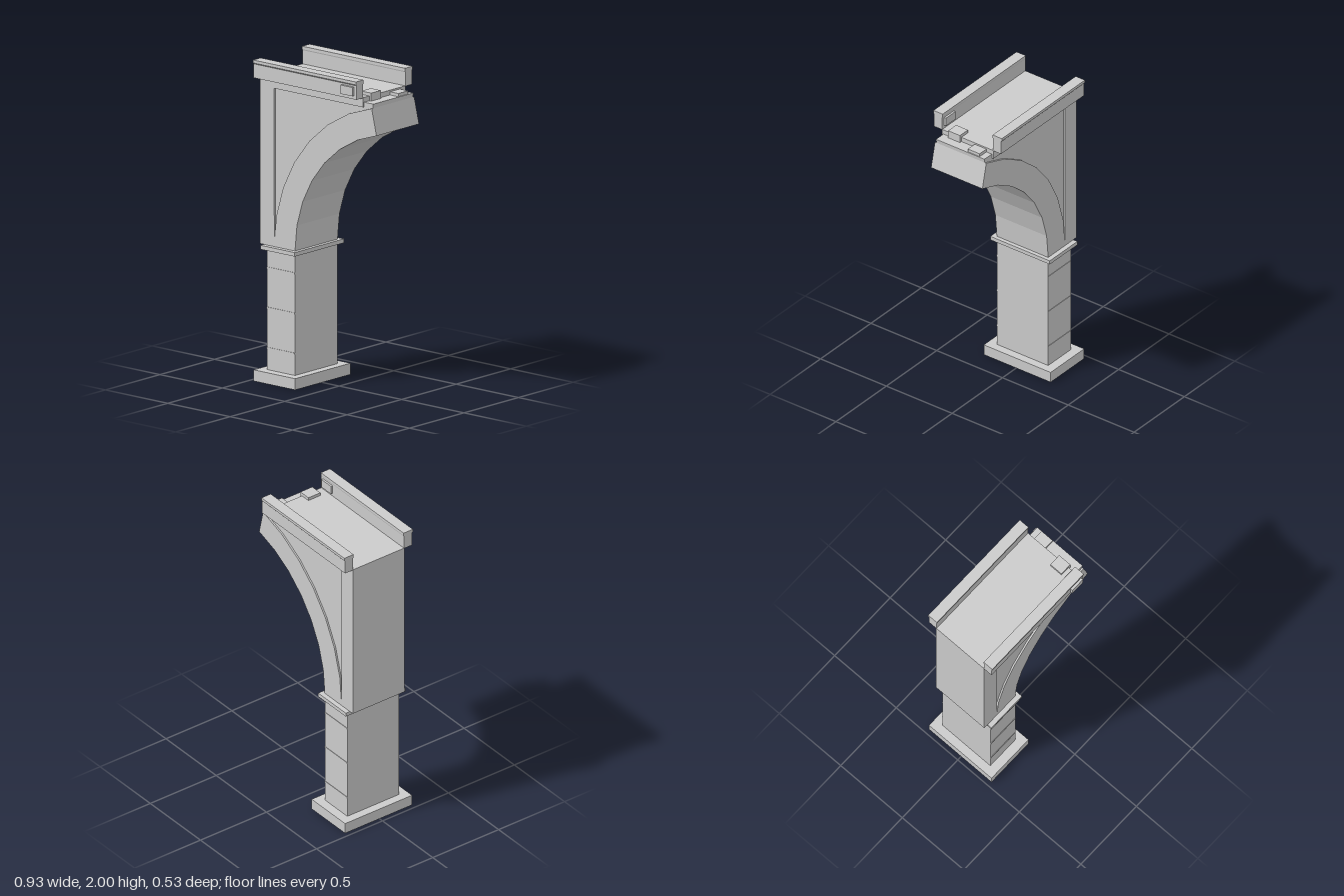
import * as THREE from 'three';

export function createModel() {
  const model = new THREE.Group();
  model.name = 'viaductPier';
  const body = new THREE.Group();
  body.name = 'pierAssembly';
  body.position.z = -0.007;
  model.add(body);
  const material = new THREE.MeshStandardMaterial({ color: 0xcccccc, flatShading: true });

  const add = (name, geometry) => {
    const mesh = new THREE.Mesh(geometry, material);
    mesh.name = name;
    body.add(mesh);
    return mesh;
  };
  // Box given by its limits on each axis
  const box = (name, x0, x1, y0, y1, z0, z1) =>
    add(name, new THREE.BoxGeometry(x1 - x0, y1 - y0, z1 - z0)
      .translate((x0 + x1) / 2, (y0 + y1) / 2, (z0 + z1) / 2));
  // Front profile extruded evenly about z = 0
  const slab = (name, points, half) =>
    add(name, new THREE.ExtrudeGeometry(
      new THREE.Shape(points.map(([x, y]) => new THREE.Vector2(x, y))),
      { depth: half * 2, bevelEnabled: false }).translate(0, 0, -half));
  // Faceted arch curve, from the springing upwards
  const arc = (radius) => Array.from({ length: 8 }, (_, i) => {
    const a = (i / 7) * 1.339;
    return [0.658 - radius * Math.cos(a), 0.845 + radius * Math.sin(a)];
  });

  // Column
  box('plinth', -0.47, -0.137, 0, 0.07, -0.254, 0.254);
  box('columnShaft', -0.415, -0.19, 0.07, 0.82, -0.195, 0.195);
  box('columnCapital', -0.44, -0.165, 0.82, 0.845, -0.226, 0.226);
  for (const y of [0.2, 0.45, 0.7]) {
    box('masonryJoint', -0.414, -0.191, y, y + 0.01, -0.198, 0.198);
  }

  // Arch rib, rear pilaster and deck edge as one frame
  const inner = arc(0.848);
  const outer = arc(1.016);
  outer[0] = [-0.356, 0.87];
  slab('archFrame', [
    [-0.47, 0.845], ...inner, ...[...outer].reverse(),
    [-0.358, 1.83], [0.355, 1.83], [0.355, 1.89], [-0.47, 1.89],
  ], 0.195);

  // Recessed spandrel panel, running out as a ledge beyond the deck
  slab('spandrelPanel', [...outer, [0.428, 1.86], [-0.358, 1.86]], 0.184);

  // Broken stones at the open end
  box('deckStone', 0.29, 0.37, 1.86, 1.91, 0.047, 0.137);
  box('ledgeStone', 0.35, 0.422, 1.855, 1.88, -0.143, -0.053);

  // Parapets with a flared coping
  for (const side of [1, -1]) {
    const profile = [
      [0.193, 1.888], [0.254, 1.888], [0.254, 1.975], [0.26, 1.982],
      [0.26, 2], [0.19, 2], [0.19, 1.982], [0.193, 1.975],
    ].map(([z, y]) => new THREE.Vector2(-z * side, y));
    const geometry = new THREE.ExtrudeGeometry(new THREE.Shape(profile),
      { depth: 0.825, bevelEnabled: false });
    geometry.rotateY(Math.PI / 2).translate(-0.47, 0, 0);
    add(side > 0 ? 'frontParapet' : 'backParapet', geometry);
  }
  box('parapetBlock', 0.24, 0.336, 1.91, 1.965, 0.18, 0.271);

  return model;
}
